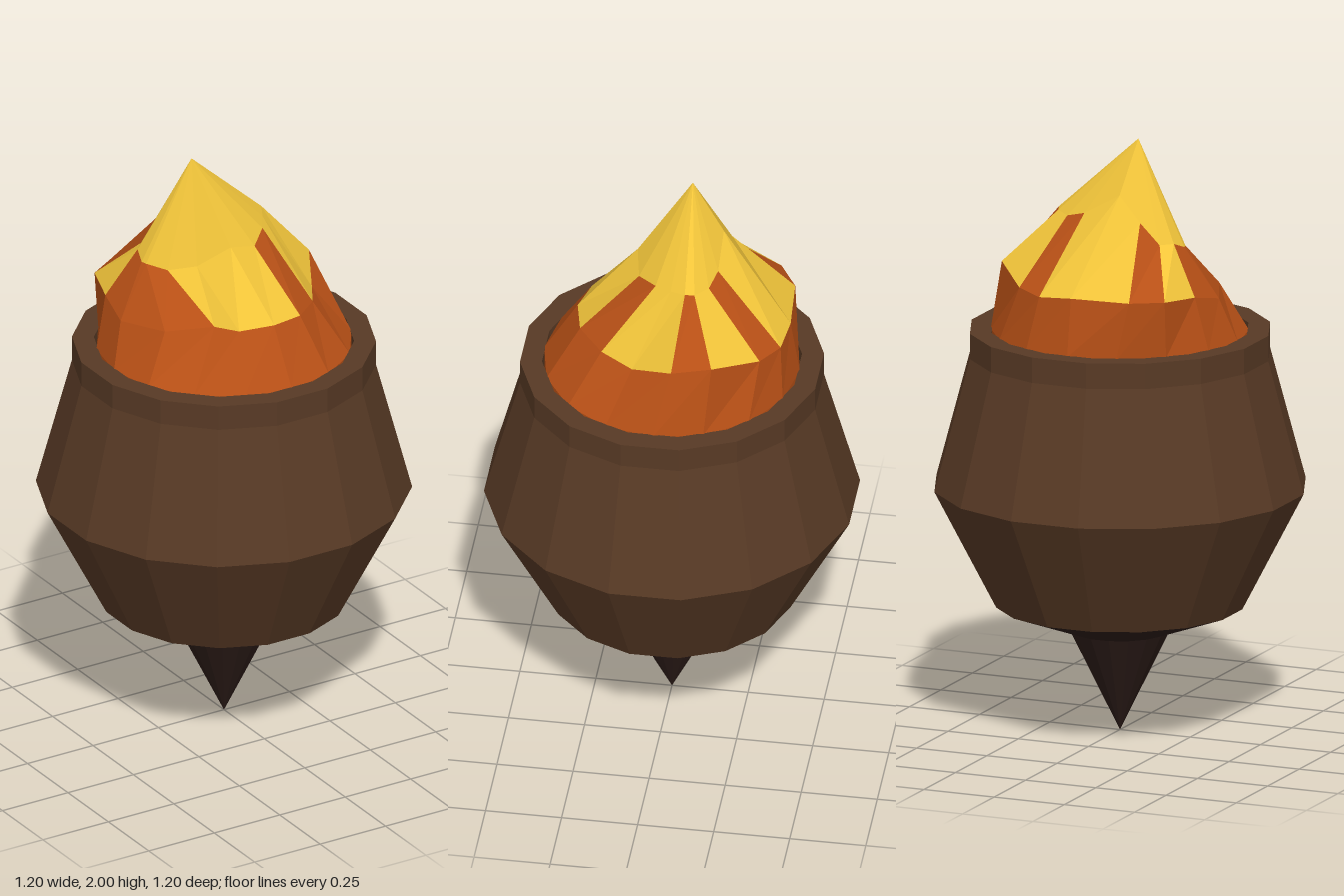
import * as THREE from 'three';

const SIDES = 16;
const STEP = (Math.PI * 2) / SIDES;

const material = (color) => new THREE.MeshStandardMaterial({ color, flatShading: true });

// Faceted lathe with flat sides towards the axes; the profile lists the flat-side radius
function turned(name, profile, mat) {
  const points = profile.map(([r, y]) => new THREE.Vector2(r / Math.cos(STEP / 2), y));
  const mesh = new THREE.Mesh(new THREE.LatheGeometry(points, SIDES, STEP / 2), mat);
  mesh.name = name;
  return mesh;
}

// Mesh from a flat list of triangle corners
function faceted(name, corners, mat) {
  const geometry = new THREE.BufferGeometry();
  geometry.setAttribute('position', new THREE.Float32BufferAttribute(corners.flat(), 3));
  geometry.computeVertexNormals();
  const mesh = new THREE.Mesh(geometry, mat);
  mesh.name = name;
  return mesh;
}

// Flame columns, counter-clockwise from the front: middle point, upper point, yellow panel or not
const TIP = [-0.09, 2, -0.055];
const COLUMNS = [
  [[0, 1.525, 0.31], [-0.048, 1.74, 0.12], true],
  [[0.115, 1.52, 0.285], [0.055, 1.71, 0.1], false],
  [[0.215, 1.51, 0.2], [0.125, 1.73, 0.035], true],
  [[0.28, 1.5, 0.09], [0.16, 1.74, -0.02], true],
  [[0.355, 1.555, -0.05], [0.185, 1.75, -0.07], false],
  [[0.34, 1.575, -0.18], [0.175, 1.745, -0.1], true],
  [[0.215, 1.53, -0.32], [0.125, 1.74, -0.14], false],
  [[0.12, 1.52, -0.375], [0.055, 1.76, -0.16], true],
  [[0, 1.53, -0.39], [-0.07, 1.83, -0.16], true],
  [[-0.2, 1.53, -0.375], [-0.15, 1.75, -0.175], false],
  [[-0.3, 1.53, -0.315], [-0.215, 1.68, -0.165], true],
  [[-0.345, 1.52, -0.175], [-0.25, 1.68, -0.13], false],
  [[-0.37, 1.49, -0.04], [-0.265, 1.66, -0.08], false],
  [[-0.3, 1.5, 0.12], [-0.26, 1.66, -0.06], false],
  [[-0.16, 1.515, 0.2], [-0.215, 1.65, 0], true],
  [[-0.115, 1.52, 0.28], [-0.14, 1.67, 0.06], true],
];

function createFlame() {
  const orange = [];
  const yellow = [];
  const quad = (list, a, b, c, d) => list.push(a, b, c, a, c, d);
  const ring = (i, r, y) => [r * Math.sin(i * STEP), y, r * Math.cos(i * STEP)];

  COLUMNS.forEach(([mid, up, isYellow], i) => {
    const [nextMid, nextUp] = COLUMNS[(i + 1) % SIDES];
    // Wall inside the cup, lower band, jagged middle panels, then the pointed tip
    quad(orange, ring(i, 0.42, 1.24), ring(i + 1, 0.42, 1.24), ring(i + 1, 0.42, 1.34), ring(i, 0.42, 1.34));
    quad(orange, ring(i, 0.42, 1.34), ring(i + 1, 0.42, 1.34), nextMid, mid);
    quad(isYellow ? yellow : orange, mid, nextMid, nextUp, up);
    yellow.push(up, nextUp, TIP);
  });

  const flame = new THREE.Group();
  flame.name = 'flame';
  flame.add(
    faceted('outerFlame', orange, material(0xb85016)),
    faceted('innerFlame', yellow, material(0xf2c53a)),
  );
  return flame;
}

export function createModel() {
  const model = new THREE.Group();
  model.name = 'torchHead';

  const wood = material(0x583a25);
  const darkWood = material(0x2c1c18);

  // Cup with a thick rim and a shallow well for the flame
  model.add(turned('cup', [
    [0.4, 0.425], [0.6, 0.82], [0.485, 1.26], [0.485, 1.345],
    [0.415, 1.345], [0.415, 1.25], [0, 1.25],
  ], wood));

  // Dark underside and pointed spike
  model.add(turned('underside', [[0.16, 0.335], [0.4, 0.425]], darkWood));
  model.add(turned('spike', [[0, 0], [0.16, 0.335]], darkWood));

  model.add(createFlame());
  return model;
}
